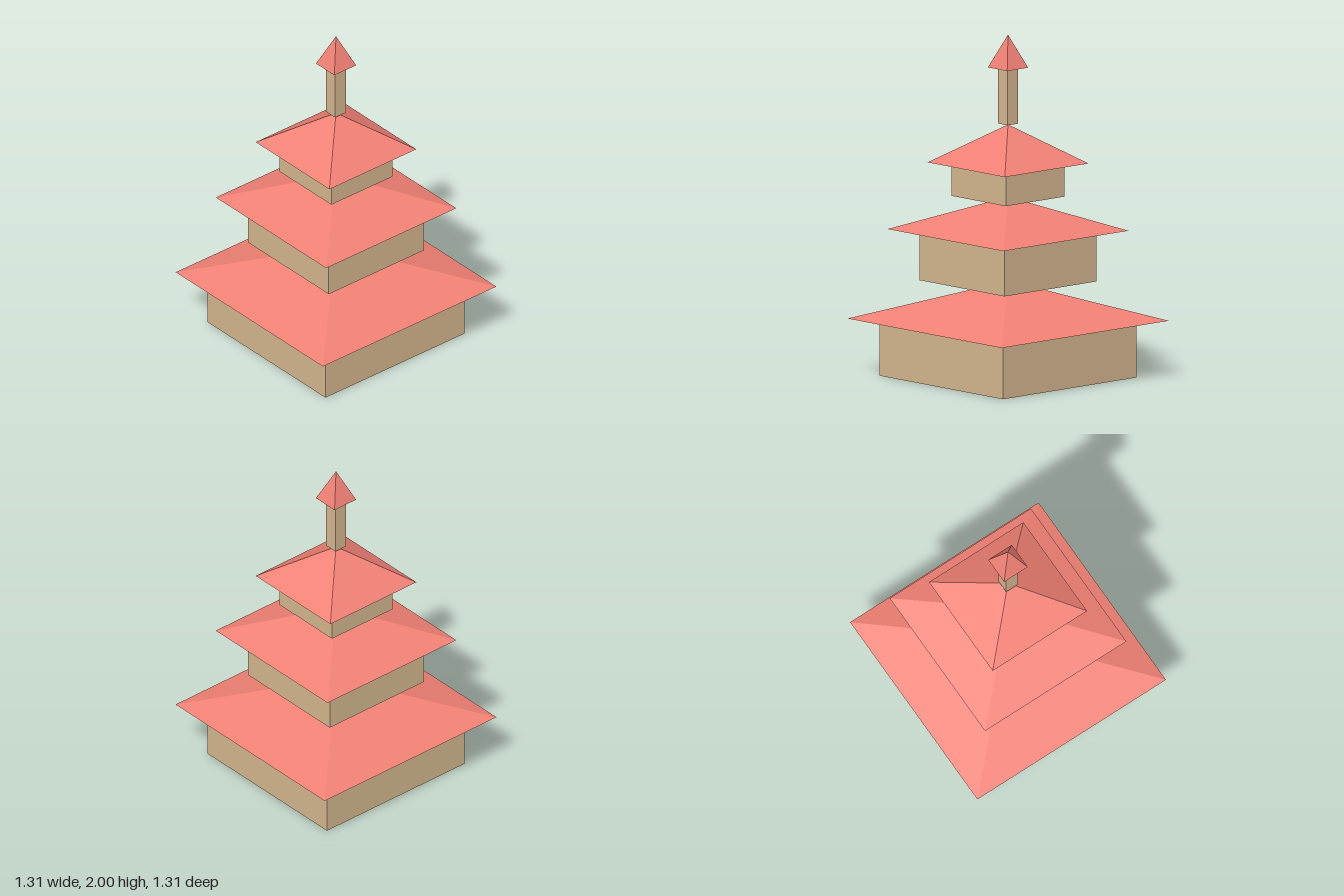
import * as THREE from 'three';

const wallMaterial = new THREE.MeshStandardMaterial({ color: 0xd2b48c, flatShading: true });
const roofMaterial = new THREE.MeshStandardMaterial({ color: 0xf08074, flatShading: true });

// Square block standing on y = bottom
function block(name, halfWidth, bottom, top) {
  const geometry = new THREE.BoxGeometry(2 * halfWidth, top - bottom, 2 * halfWidth);
  const mesh = new THREE.Mesh(geometry, wallMaterial);
  mesh.position.y = (bottom + top) / 2;
  mesh.name = name;
  return mesh;
}

// Closed four-sided pyramid with its eaves along x and z
function pyramid(name, halfWidth, bottom, top) {
  const geometry = new THREE.ConeGeometry(halfWidth * Math.SQRT2, top - bottom, 4);
  geometry.rotateY(Math.PI / 4);
  const mesh = new THREE.Mesh(geometry, roofMaterial);
  mesh.position.y = (bottom + top) / 2;
  mesh.name = name;
  return mesh;
}

export function createModel() {
  const model = new THREE.Group();
  model.name = 'pagoda';

  // Each tier: wall half width, roof half width, base, eaves and apex heights
  const tiers = [
    ['lowerTier', 0.524, 0.655, 0, 0.333, 0.56],
    ['middleTier', 0.36, 0.491, 0.56, 0.858, 1.052],
    ['upperTier', 0.23, 0.328, 1.055, 1.25, 1.475],
    ['spire', 0.04, 0.082, 1.48, 1.808, 2],
  ];
  for (const [name, wall, eaves, base, eavesY, apex] of tiers) {
    const tier = new THREE.Group();
    tier.name = name;
    tier.add(block(name + 'Walls', wall, base, eavesY));
    tier.add(pyramid(name + 'Roof', eaves, eavesY, apex));
    model.add(tier);
  }
  return model;
}
